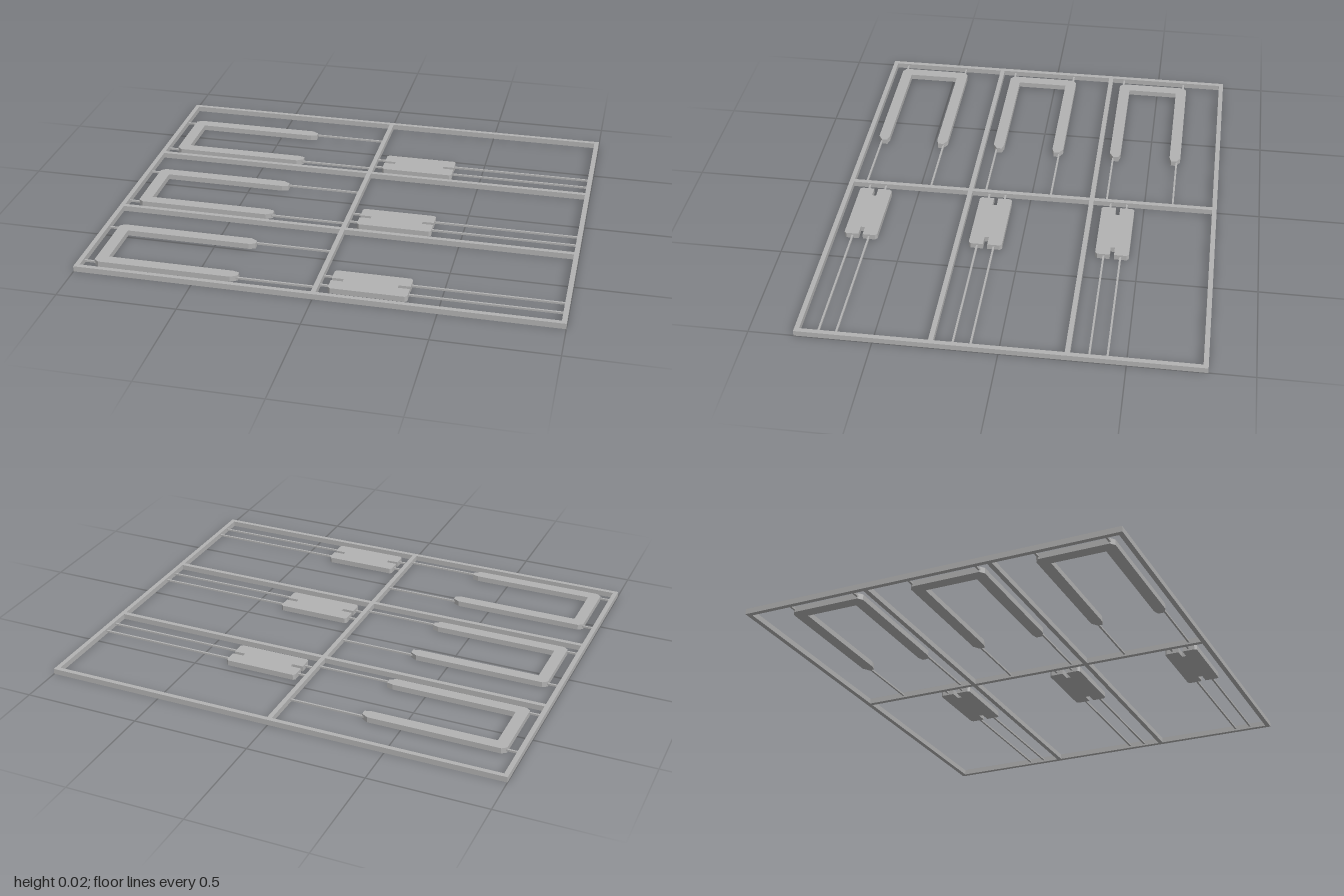
import * as THREE from 'three';

const H = 0.024; // overall thickness
const BAR = 0.02; // frame bar width
const PITCH = 0.537; // distance between rows

export function createModel() {
  const model = new THREE.Group();
  model.name = 'partsFrame';
  const grey = new THREE.MeshStandardMaterial({ color: 0xb2b2b2 });
  grey.name = 'grey plastic';

  const add = (parent, name, geometry) => {
    const mesh = new THREE.Mesh(geometry, grey);
    mesh.name = name;
    parent.add(mesh);
    return mesh;
  };
  // Box given by its plan limits
  const box = (parent, name, x0, x1, z0, z1, h = H, y = H / 2) =>
    add(parent, name, new THREE.BoxGeometry(x1 - x0, h, z1 - z0)).position.set((x0 + x1) / 2, y, (z0 + z1) / 2);
  // Flat plate from a plan outline in (x, z)
  const plate = (parent, name, points) => {
    const shape = new THREE.Shape(points.map(([x, z]) => new THREE.Vector2(x, -z)));
    const geometry = new THREE.ExtrudeGeometry(shape, { depth: H, bevelEnabled: false });
    return add(parent, name, geometry.rotateX(-Math.PI / 2));
  };

  // Outer frame and dividers
  const frame = new THREE.Group();
  frame.name = 'frame';
  model.add(frame);
  for (const x of [-0.99, 0, 0.99]) box(frame, 'longBar', x - BAR / 2, x + BAR / 2, -0.815, 0.815);
  for (const z of [-0.805, -0.269, 0.269, 0.805])
    for (const side of [-1, 1]) {
      const x = side * 0.495;
      box(frame, 'crossBar', x - 0.485, x + 0.485, z - BAR / 2, z + BAR / 2);
    }

  // Bracket outline: one half, mirrored in z
  const half = [
    [-0.886, 0.112], [-0.355, 0.112], [-0.327, 0.120], [-0.327, 0.144],
    [-0.355, 0.161], [-0.916, 0.161], [-0.936, 0.146],
  ];
  const bracket = [...half, ...half.map(([x, z]) => [x, -z]).reverse()];

  // Slotted plate outline: one quarter, mirrored in x and z
  const quarter = [[0.112, 0.009], [0.161, 0.009], [0.161, 0.062], [0.152, 0.071]];
  const mirror = (pts, sx, sz) => pts.map(([x, z]) => [x * sx, z * sz]);
  const tablet = [
    ...quarter, ...mirror(quarter, -1, 1).reverse(),
    ...mirror(quarter, -1, -1), ...mirror(quarter, 1, -1).reverse(),
  ];

  // Three rows, each with a bracket, a slotted plate and their wires
  for (let i = -1; i <= 1; i++) {
    const row = new THREE.Group();
    row.name = 'row';
    row.position.z = 0.059 + i * PITCH;
    model.add(row);
    plate(row, 'bracket', bracket);
    plate(row, 'slottedPlate', tablet).position.set(0.209, 0, 0.089);
    const wire = (x0, x1, z) => box(row, 'wire', x0, x1, z - 0.004, z + 0.004, 0.008);
    for (const z of [-0.149, 0.149]) {
      wire(-0.985, -0.92, z * 0.97);
      wire(-0.34, -0.005, z * 0.97);
    }
    for (const z of [0.053, 0.124]) {
      wire(0.005, 0.06, z);
      wire(0.36, 0.985, z);
    }
  }
  return model;
}
